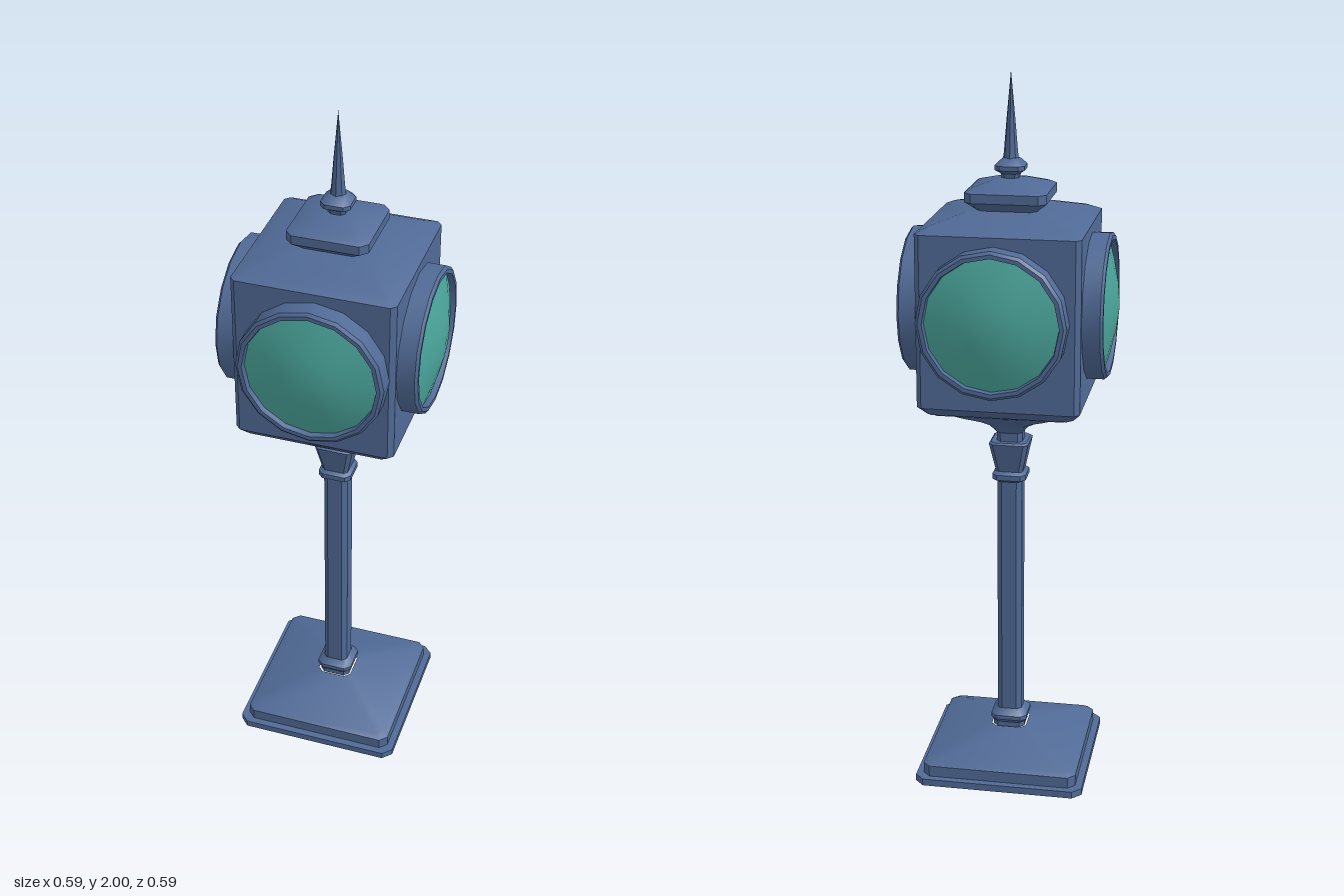
import * as THREE from 'three';
import { toCreasedNormals } from 'three/addons/utils/BufferGeometryUtils.js';

const paint = new THREE.MeshStandardMaterial({ color: 0x506a96, side: THREE.DoubleSide });
const glass = new THREE.MeshStandardMaterial({ color: 0x4aa59b });

// Lofts square sections with cut corners; each row is [y, half width, corner cut]
function squareLoft(rows) {
  const pos = [], idx = [];
  for (const [y, h, c] of rows) {
    const k = h - c;
    const ring = [[h, -k], [h, k], [k, h], [-k, h], [-h, k], [-h, -k], [-k, -h], [k, -h]];
    for (const [x, z] of ring) pos.push(x, y, z);
  }
  for (let j = 0; j < rows.length - 1; j++) {
    for (let i = 0; i < 8; i++) {
      const a = j * 8 + i, b = j * 8 + (i + 1) % 8;
      idx.push(a, a + 8, b, b, a + 8, b + 8);
    }
  }
  const g = new THREE.BufferGeometry();
  g.setAttribute('position', new THREE.Float32BufferAttribute(pos, 3));
  g.setIndex(idx);
  return toCreasedNormals(g, 0.6);
}

// Turned shape from [radius, height] points
function turned(points, sides) {
  const g = new THREE.LatheGeometry(points.map(([r, y]) => new THREE.Vector2(r, y)), sides);
  return toCreasedNormals(g, 0.6);
}

export function createModel() {
  const model = new THREE.Group();
  model.name = 'streetClock';
  const add = (name, geometry, material = paint, parent = model) => {
    const mesh = new THREE.Mesh(geometry, material);
    mesh.name = name;
    parent.add(mesh);
    return mesh;
  };

  // Hollow stepped foot
  add('base', squareLoft([
    [0, 0.24, 0.025], [0.02, 0.24, 0.025], [0.02, 0.22, 0.02],
    [0.052, 0.22, 0.02], [0.062, 0.205, 0.02], [0.108, 0.05, 0.015],
  ]));

  // Post with its collars
  add('lowerCollar', squareLoft([
    [0.105, 0.045, 0.014], [0.12, 0.045, 0.014], [0.13, 0.052, 0.016],
    [0.142, 0.052, 0.016], [0.16, 0.036, 0.012],
  ]));
  add('post', squareLoft([[0.105, 0.035, 0.014], [0.9, 0.035, 0.014]]));
  add('upperCollar', squareLoft([
    [0.865, 0.035, 0.012], [0.873, 0.047, 0.014], [0.888, 0.047, 0.014], [0.897, 0.037, 0.012],
  ]));
  add('capital', squareLoft([
    [0.893, 0.037, 0.01], [0.98, 0.055, 0.012], [0.985, 0.05, 0.012], [0.985, 0.025, 0.008],
  ]));

  // Flared neck below the clock head
  add('neck', squareLoft([
    [0.975, 0.036, 0.012], [1.01, 0.036, 0.012], [1.035, 0.055, 0.014], [1.055, 0.085, 0.016],
    [1.075, 0.125, 0.018], [1.092, 0.155, 0.018], [1.102, 0.19, 0.018],
  ]));

  // Clock head and roof
  add('head', squareLoft([
    [1.102, 0.185, 0.018], [1.107, 0.2, 0.016], [1.13, 0.22, 0.014], [1.6, 0.22, 0.014],
  ]));
  add('roof', squareLoft([
    [1.6, 0.22, 0.014], [1.615, 0.19, 0.014], [1.638, 0.11, 0.014], [1.642, 0.06, 0.012],
  ]));
  add('roofCap', squareLoft([
    [1.638, 0.078, 0.016], [1.665, 0.11, 0.02], [1.69, 0.11, 0.02], [1.697, 0.1, 0.02],
    [1.715, 0.045, 0.014], [1.72, 0.015, 0.005],
  ]));

  // Finial and spire
  add('finial', squareLoft([
    [1.712, 0.022, 0.01], [1.73, 0.025, 0.01], [1.74, 0.04, 0.015],
    [1.752, 0.04, 0.015], [1.768, 0.024, 0.009], [1.775, 0.01, 0.004],
  ]));
  add('spire', turned([[0.022, 1.765], [0.019, 1.785], [0.012, 1.87], [0.0, 2.0]], 8));

  // Four dials, each a rim around a domed glass
  const rim = turned([
    [0.2, 0.19], [0.2, 0.268], [0.192, 0.275], [0.181, 0.275], [0.178, 0.255],
  ], 16).rotateX(Math.PI / 2);
  const dome = turned([
    [0.179, 0.259], [0.13, 0.274], [0.07, 0.288], [0, 0.297],
  ], 16).rotateX(Math.PI / 2);
  ['front', 'left', 'back', 'right'].forEach((side, i) => {
    const dial = new THREE.Group();
    dial.name = side + 'Dial';
    add(side + 'Rim', rim, paint, dial);
    add(side + 'Glass', dome, glass, dial);
    dial.rotation.y = i * Math.PI / 2;
    // Front and back dials sit slightly off-centre
    dial.position.set(i % 2 ? 0 : 0.008, 1.377, i % 2 ? 0.002 : 0);
    model.add(dial);
  });

  return model;
}
